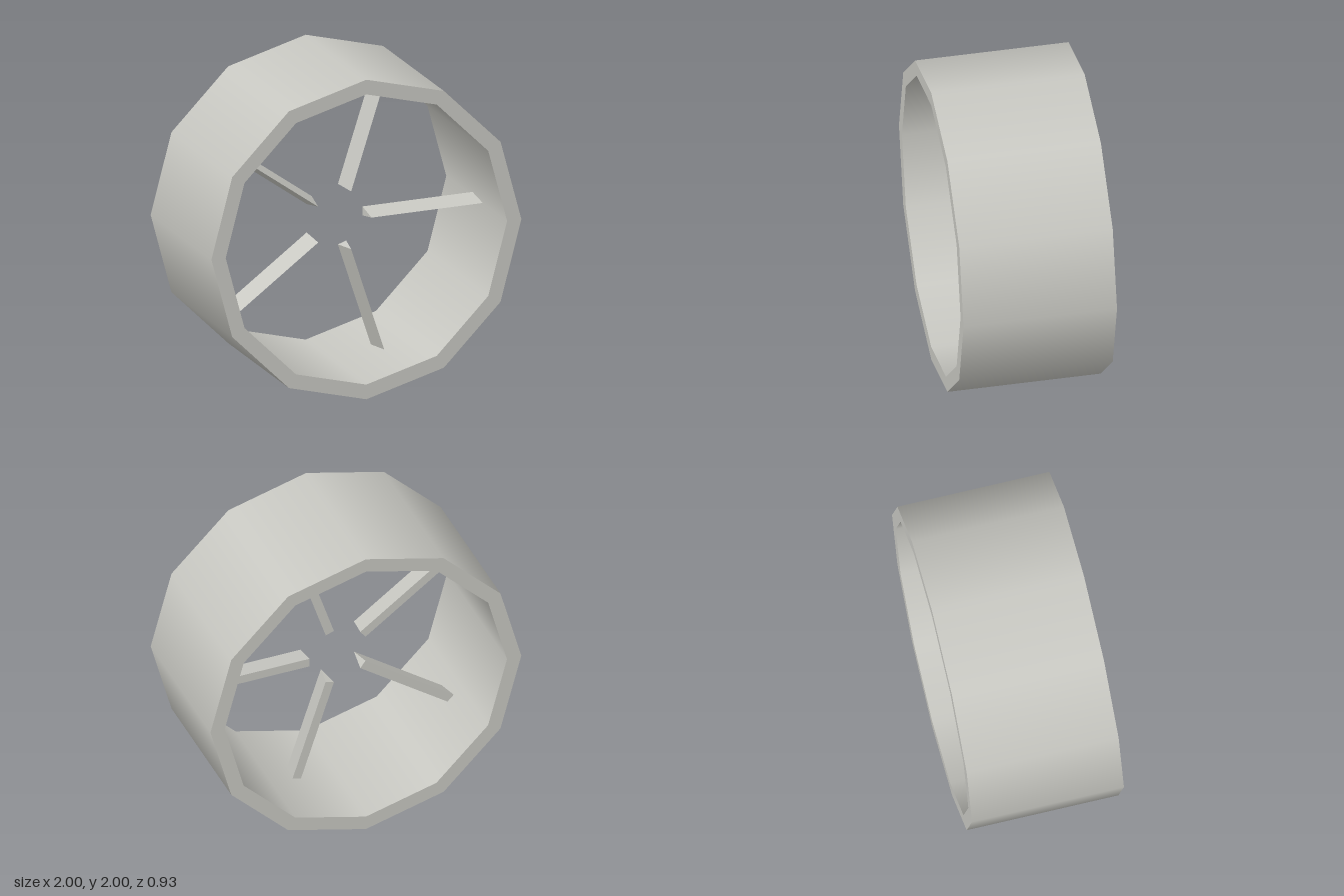
import * as THREE from 'three';
import { mergeGeometries } from 'three/addons/utils/BufferGeometryUtils.js';

const OUTER = 1, INNER = 0.908, HALF_WIDTH = 0.465, SIDES = 12;
const SPOKES = 5, SPOKE_START = 0.19, SPOKE_END = 0.908;

// Hollow twelve-sided rim: one lathe per profile side keeps the rim edges crisp
// while the shading stays smooth around the barrel.
function rimGeometry() {
  const profile = [
    [OUTER, -HALF_WIDTH], [OUTER, HALF_WIDTH], [INNER, HALF_WIDTH], [INNER, -HALF_WIDTH],
  ].map(([r, y]) => new THREE.Vector2(r, y));
  const sides = profile.map((p, i) =>
    new THREE.LatheGeometry([p, profile[(i + 1) % profile.length]], SIDES));
  return mergeGeometries(sides).rotateX(Math.PI / 2);
}

// Triangular prism along +y, with its narrow ridge facing the front.
function spokeGeometry() {
  const radius = 0.093, halfThickness = 0.028;
  const length = SPOKE_END - SPOKE_START;
  const prism = new THREE.CylinderGeometry(radius, radius, length, 3).toNonIndexed();
  prism.scale(halfThickness / (radius * Math.sin(Math.PI / 3)), 1, 1);
  prism.translate(0, SPOKE_START + length / 2, 0);
  prism.computeVertexNormals();
  return prism;
}

export function createModel() {
  const metal = new THREE.MeshStandardMaterial({ color: 0xc8c8c2 });
  metal.name = 'pale grey metal';

  const model = new THREE.Group();
  model.name = 'wheel';

  const rim = new THREE.Mesh(rimGeometry(), metal);
  rim.name = 'rim';
  rim.position.y = 1;
  model.add(rim);

  // Five spokes, the first pointing to +x
  const geometry = spokeGeometry();
  for (let i = 0; i < SPOKES; i++) {
    const spoke = new THREE.Mesh(geometry, metal);
    spoke.name = `spoke${i + 1}`;
    spoke.position.y = 1;
    spoke.rotation.z = (i / SPOKES) * Math.PI * 2 - Math.PI / 2;
    model.add(spoke);
  }
  return model;
}
